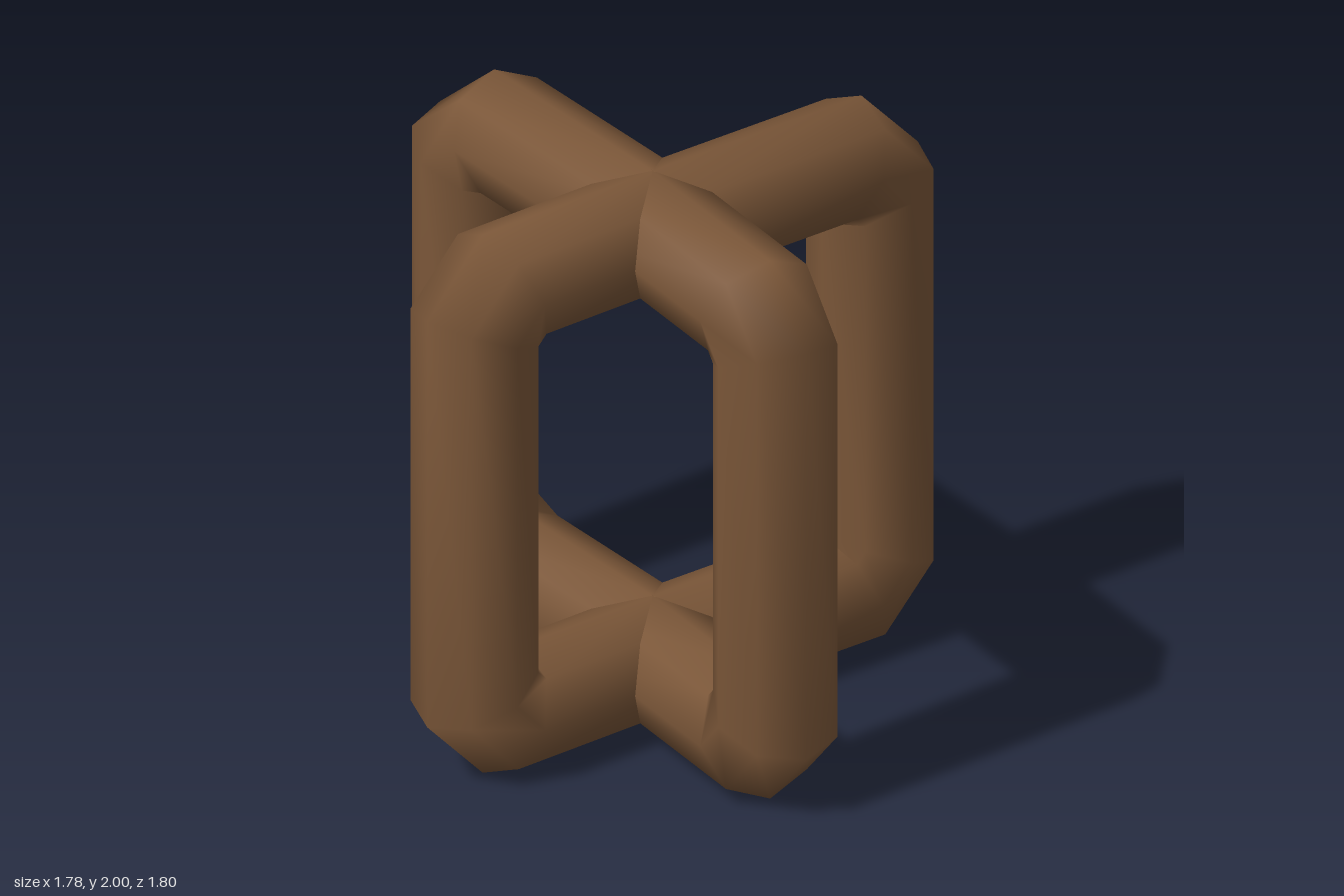
import * as THREE from 'three';

const SIDES = 8;
const R = 0.21;            // tube radius in the plane of the loop
const RS = 0.22;           // tube radius across the loop
const MITRE = Math.tan(Math.PI / 8);
const TOP = 1.79, BOTTOM = 0.21;
const CENTRE = [0.08, 0.05];

// One C-shaped half loop from the top crossing, out to (x, z), down and back in.
// reach is how far the bevelled corner extends along the horizontal bars.
function halfLoop(x, z, reach, material) {
  const dx = x - CENTRE[0], dz = z - CENTRE[1];
  const S = Math.hypot(dx, dz);
  const d = [dx / S, dz / S];
  const drop = 0.123;
  // each ring: centre (s, y) and the in-plane offset (os, oy) of its outer vertex
  const rings = [
    [-0.01, TOP, 0, R],
    [S - reach, TOP, R * MITRE, R],
    [S, TOP - drop, R, R * MITRE],
    [S, BOTTOM + drop, R, -R * MITRE],
    [S - reach, BOTTOM, R * MITRE, -R],
    [-0.01, BOTTOM, 0, -R],
  ];
  const positions = [], indices = [];
  for (const [s, y, os, oy] of rings) {
    for (let j = 0; j < SIDES; j++) {
      const a = (j / SIDES) * Math.PI * 2;
      const c = Math.cos(a), side = RS * Math.sin(a);
      const along = s + os * c;
      positions.push(
        CENTRE[0] + d[0] * along - d[1] * side,
        y + oy * c,
        CENTRE[1] + d[1] * along + d[0] * side
      );
    }
  }
  for (let i = 0; i < rings.length - 1; i++) {
    for (let j = 0; j < SIDES; j++) {
      const k = (j + 1) % SIDES;
      const a = i * SIDES + j, b = i * SIDES + k;
      indices.push(a, b, a + SIDES, b, b + SIDES, a + SIDES);
    }
  }
  const geometry = new THREE.BufferGeometry();
  geometry.setAttribute('position', new THREE.Float32BufferAttribute(positions, 3));
  geometry.setIndex(indices);
  geometry.computeVertexNormals();
  return new THREE.Mesh(geometry, material);
}

export function createModel() {
  const group = new THREE.Group();
  group.name = 'crossedLoops';
  const brown = new THREE.MeshStandardMaterial({ color: 0x7a5638 });

  // two crossing loops, each made of two opposite halves
  const arms = [
    ['backRightHalfLoop', -0.68, -0.69, 0.2],
    ['frontLeftHalfLoop', 0.63, 0.68, 0.123],
    ['backLeftHalfLoop', 0.67, -0.69, 0.123],
    ['frontRightHalfLoop', -0.4, 0.68, 0.123],
  ];
  for (const [name, x, z, reach] of arms) {
    const mesh = halfLoop(x, z, reach, brown);
    mesh.name = name;
    group.add(mesh);
  }
  return group;
}
